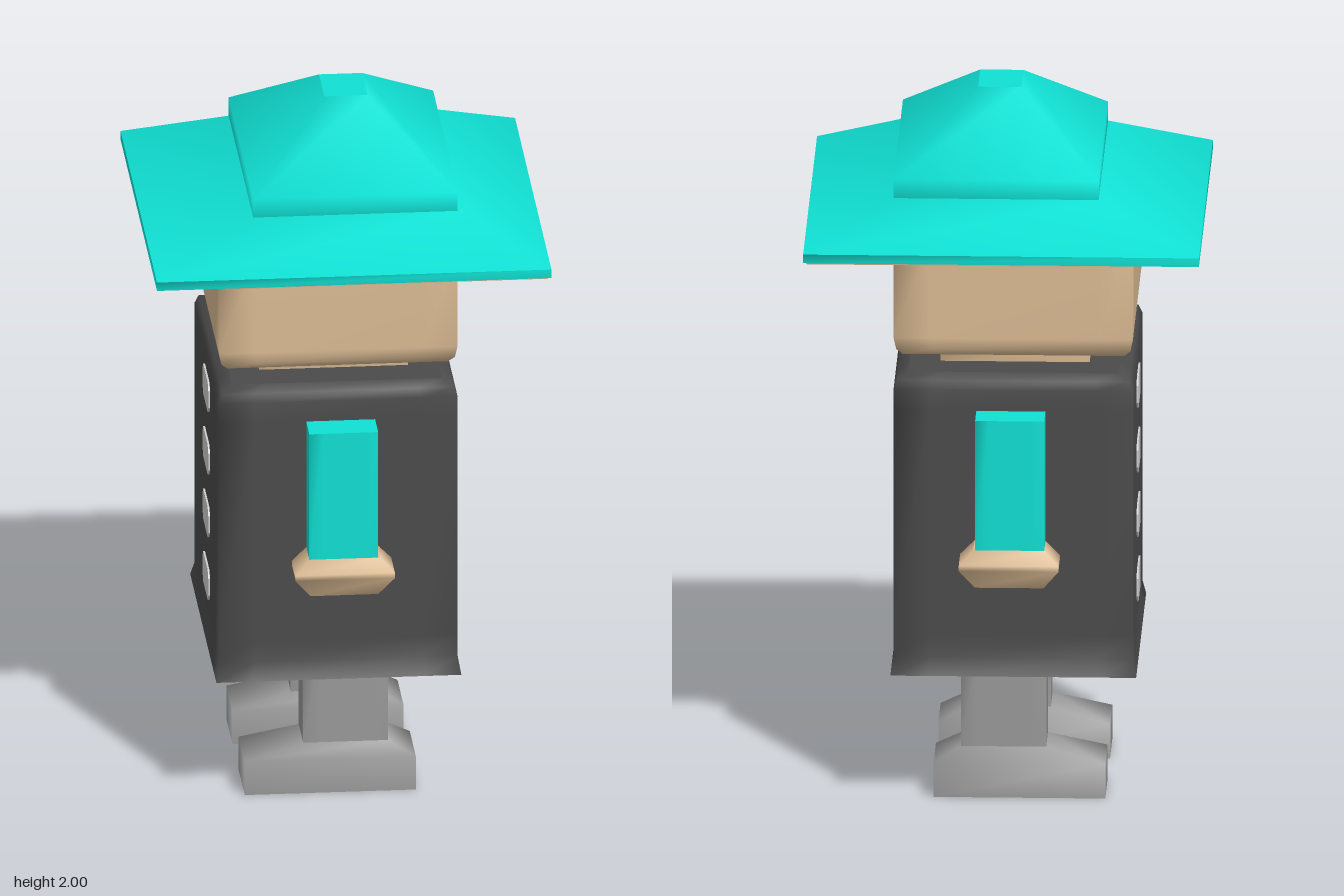
import * as THREE from 'three';

const mat = (name, color) => {
  const m = new THREE.MeshStandardMaterial({ color });
  m.name = name;
  return m;
};

// Rectangular loop, counter-clockwise from above; inset adds support points beside each corner.
function loop([y, x0, x1, z0, z1], inset) {
  const corners = [[x0, z1], [x1, z1], [x1, z0], [x0, z0]];
  const pts = [];
  corners.forEach(([x, z], i) => {
    const [nx, nz] = corners[(i + 1) % 4];
    const steps = inset ? [0, inset, 1 - inset] : [0];
    for (const t of steps) pts.push([x + (nx - x) * t, y, z + (nz - z) * t]);
  });
  return pts;
}

// Smooth-sided solid through rectangular sections [y, x0, x1, z0, z1], bottom to top, with flat caps.
function loft(sections, inset = 0) {
  const loops = sections.map((s) => loop(s, inset));
  const n = loops[0].length;
  const pos = loops.flat(2);
  const index = [];
  for (let r = 0; r < loops.length - 1; r++) {
    for (let i = 0; i < n; i++) {
      const a = r * n + i, b = r * n + (i + 1) % n;
      index.push(a, b, b + n, a, b + n, a + n);
    }
  }
  const cap = (pts, up) => {
    const base = pos.length / 3;
    pos.push(...pts.flat());
    for (let i = 1; i < n - 1; i++) {
      index.push(base, base + (up ? i : i + 1), base + (up ? i + 1 : i));
    }
  };
  cap(loops[0], false);
  cap(loops[loops.length - 1], true);
  const g = new THREE.BufferGeometry();
  g.setAttribute('position', new THREE.Float32BufferAttribute(pos, 3));
  g.setIndex(index);
  g.computeVertexNormals();
  return g;
}

export function createModel() {
  const model = new THREE.Group();
  model.name = 'figure';
  const teal = mat('teal', 0x10e0d3);
  const skin = mat('skin', 0xdcbc94);
  const coat = mat('charcoal', 0x4b4b4b);
  const grey = mat('grey', 0x999999);
  const pale = mat('paleGrey', 0xd0d0d0);

  const add = (name, geometry, material) => {
    const m = new THREE.Mesh(geometry, material);
    m.name = name;
    model.add(m);
    return m;
  };

  // Hat: thin rim, sloping brim, crown
  add('hatRim', loft([
    [1.63, -0.55, 0.55, -0.57, 0.57],
    [1.655, -0.55, 0.55, -0.57, 0.57],
  ]), teal);
  add('hatBrim', loft([
    [1.655, -0.55, 0.55, -0.57, 0.57],
    [1.765, -0.265, 0.305, -0.383, 0.383],
  ]), teal);
  add('hatCrown', loft([
    [1.765, -0.265, 0.305, -0.383, 0.383],
    [1.82, -0.265, 0.305, -0.383, 0.383],
    [2.0, -0.04, 0.08, -0.083, 0.083],
  ]), teal);
  // Lining under the brim, stopping at the face
  add('hatLining', loft([
    [1.624, -0.36, 0.54, -0.56, 0.56],
    [1.631, -0.36, 0.54, -0.56, 0.56],
  ]), skin);

  // Head and neck
  add('head', loft([
    [1.295, -0.3, 0.245, -0.32, 0.32],
    [1.305, -0.335, 0.28, -0.355, 0.355],
    [1.325, -0.353, 0.298, -0.375, 0.375],
    [1.36, -0.36, 0.305, -0.383, 0.383],
    [1.63, -0.36, 0.305, -0.383, 0.383],
  ], 0.15), skin);
  add('neck', loft([
    [1.24, -0.235, 0.18, -0.235, 0.235],
    [1.3, -0.235, 0.18, -0.235, 0.235],
  ]), skin);

  // Coat with rounded shoulders and a flared hem
  add('coat', loft([
    [0.388, -0.37, 0.313, -0.41, 0.41],
    [0.435, -0.36, 0.305, -0.383, 0.383],
    [0.5, -0.36, 0.305, -0.383, 0.383],
    [1.15, -0.36, 0.305, -0.383, 0.383],
    [1.21, -0.36, 0.305, -0.383, 0.383],
    [1.235, -0.35, 0.295, -0.373, 0.373],
    [1.25, -0.32, 0.265, -0.34, 0.34],
  ], 0.15), coat);

  // Buttons down the chest, which faces -x
  const w = 0.09, h = 0.045, c = 0.02;
  const outline = [[-w + c, -h], [w - c, -h], [w, -h + c], [w, h - c],
    [w - c, h], [-w + c, h], [-w, h - c], [-w, -h + c]];
  const buttonShape = new THREE.Shape(outline.map(([x, y]) => new THREE.Vector2(x, y)));
  const buttonGeo = new THREE.ExtrudeGeometry(buttonShape, { depth: 0.006, bevelEnabled: false });
  buttonGeo.rotateY(-Math.PI / 2);
  for (let i = 0; i < 4; i++) {
    add('button', buttonGeo, pale).position.set(-0.359, 0.55 + i * 0.187, 0.01);
  }

  // Arms, hands, legs and feet on both sides
  for (const side of [1, -1]) {
    const label = side > 0 ? 'front' : 'back';
    // Mirrors a section's z span to the current side
    const s = (y, x0, x1, zIn, zOut) =>
      side > 0 ? [y, x0, x1, zIn, zOut] : [y, x0, x1, -zOut, -zIn];

    add(label + 'Arm', loft([
      s(0.77, -0.117, 0.075, 0.37, 0.48),
      s(1.15, -0.117, 0.075, 0.37, 0.48),
    ], 0.2), teal);
    add(label + 'Hand', loft([
      s(0.668, -0.115, 0.075, 0.37, 0.485),
      s(0.72, -0.157, 0.12, 0.37, 0.5),
      s(0.735, -0.157, 0.12, 0.37, 0.5),
      s(0.775, -0.117, 0.08, 0.37, 0.482),
    ]), skin);
    add(label + 'Leg', loft([
      s(0.14, -0.115, 0.122, 0.122, 0.264),
      s(0.4, -0.115, 0.122, 0.122, 0.264),
    ], 0.2), grey);
    add(label + 'Foot', loft([
      s(0, -0.28, 0.197, 0.098, 0.286),
      s(0.1, -0.28, 0.197, 0.098, 0.286),
      s(0.142, -0.115, 0.122, 0.122, 0.264),
    ]), grey);
  }
  return model;
}
